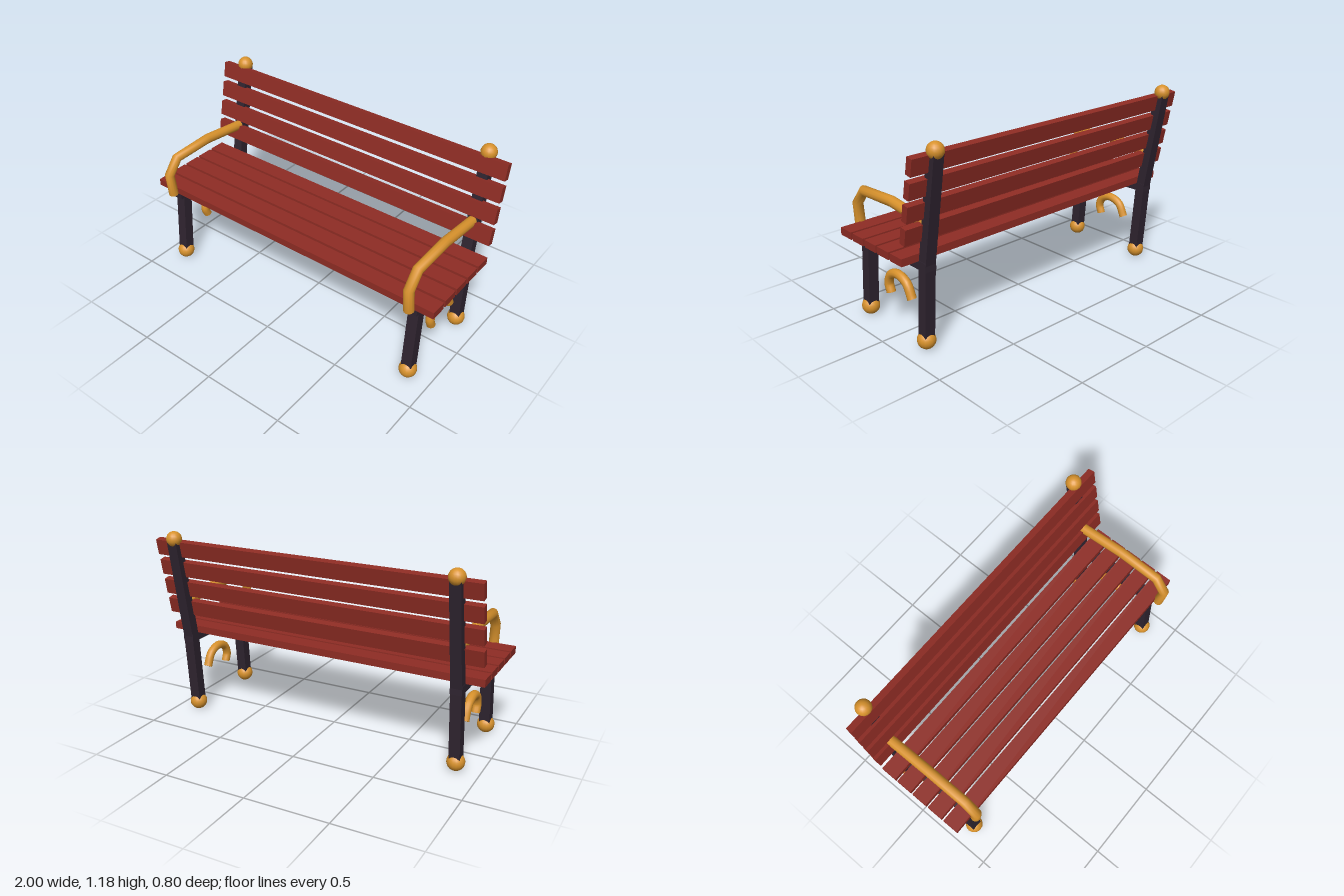
import * as THREE from 'three';

const wood = new THREE.MeshStandardMaterial({ color: 0x8e2c24 });
wood.name = 'red wood';
const iron = new THREE.MeshStandardMaterial({ color: 0x2f2430 });
iron.name = 'dark iron';
const brass = new THREE.MeshStandardMaterial({ color: 0xd8922c });
brass.name = 'golden brass';

const SIDE_X = 0.863;

function add(parent, name, geometry, material, x = 0, y = 0, z = 0) {
  const mesh = new THREE.Mesh(geometry, material);
  mesh.name = name;
  mesh.position.set(x, y, z);
  parent.add(mesh);
  return mesh;
}

// Square bar between two [z, y] points
function bar(parent, name, a, b, width = 0.062) {
  const dz = b[0] - a[0], dy = b[1] - a[1];
  const mesh = add(parent, name, new THREE.BoxGeometry(0.064, Math.hypot(dz, dy), width), iron,
    0, (a[1] + b[1]) / 2, (a[0] + b[0]) / 2);
  mesh.rotation.x = Math.atan2(dz, dy);
}

// Capped round tube through [z, y] points, with rings evenly spread between the points
function pipe(parent, name, points, radius, stepsPerSpan) {
  const curve = new THREE.CatmullRomCurve3(points.map(([z, y]) => new THREE.Vector3(0, y, z)));
  curve.getUtoTmapping = (u) => u;
  const group = new THREE.Group();
  group.name = name;
  parent.add(group);
  add(group, name + 'Tube',
    new THREE.TubeGeometry(curve, (points.length - 1) * stepsPerSpan, radius, 12), brass);
  for (const t of [0, 1]) {
    const p = curve.getPoint(t);
    const cap = add(group, name + 'Cap', new THREE.CircleGeometry(radius, 12), brass, p.x, p.y, p.z);
    cap.lookAt(p.clone().addScaledVector(curve.getTangent(t), t ? 1 : -1));
  }
}

function createSideFrame() {
  const side = new THREE.Group();

  // Legs, back post and seat rail
  bar(side, 'frontLeg', [0.307, 0.075], [0.272, 0.51]);
  bar(side, 'backLeg', [-0.218, 0.075], [-0.25, 0.52]);
  bar(side, 'backPost', [-0.248, 0.49], [-0.354, 1.12], 0.058);
  add(side, 'seatRail', new THREE.BoxGeometry(0.068, 0.05, 0.61), iron, 0, 0.497, 0.025);

  // Ball feet and finial
  for (const [name, z, y, r] of [
    ['frontFoot', 0.311, 0.052, 0.052],
    ['backFoot', -0.216, 0.052, 0.052],
    ['finial', -0.354, 1.13, 0.046],
  ]) add(side, name, new THREE.SphereGeometry(r, 16, 12), brass, 0, y, z);

  // Armrest and scroll ornament
  pipe(side, 'armrest',
    [[0.358, 0.519], [0.373, 0.663], [0.3, 0.752], [0.036, 0.763], [-0.26, 0.73]], 0.03, 1);
  pipe(side, 'scroll',
    [[0.093, 0.217], [0.11, 0.27], [0.084, 0.326], [0.015, 0.35], [-0.06, 0.322], [-0.101, 0.245]],
    0.026, 4);
  return side;
}

export function createModel() {
  const bench = new THREE.Group();
  bench.name = 'bench';

  for (const [name, s] of [['leftFrame', 1], ['rightFrame', -1]]) {
    const side = createSideFrame();
    side.name = name;
    side.position.x = s * SIDE_X;
    bench.add(side);
  }

  // Seat slats
  for (let i = 0; i < 5; i++) {
    add(bench, 'seatSlat', new THREE.BoxGeometry(2, 0.043, 0.1), wood, 0, 0.541, 0.291 - i * 0.116);
  }

  // Leaning back slats
  for (let i = 0; i < 4; i++) {
    const slat = add(bench, 'backSlat', new THREE.BoxGeometry(2, 0.094, 0.041), wood,
      0, 0.69 + i * 0.1265, -0.243 - i * 0.0265);
    slat.rotation.x = -0.19;
  }
  return bench;
}
